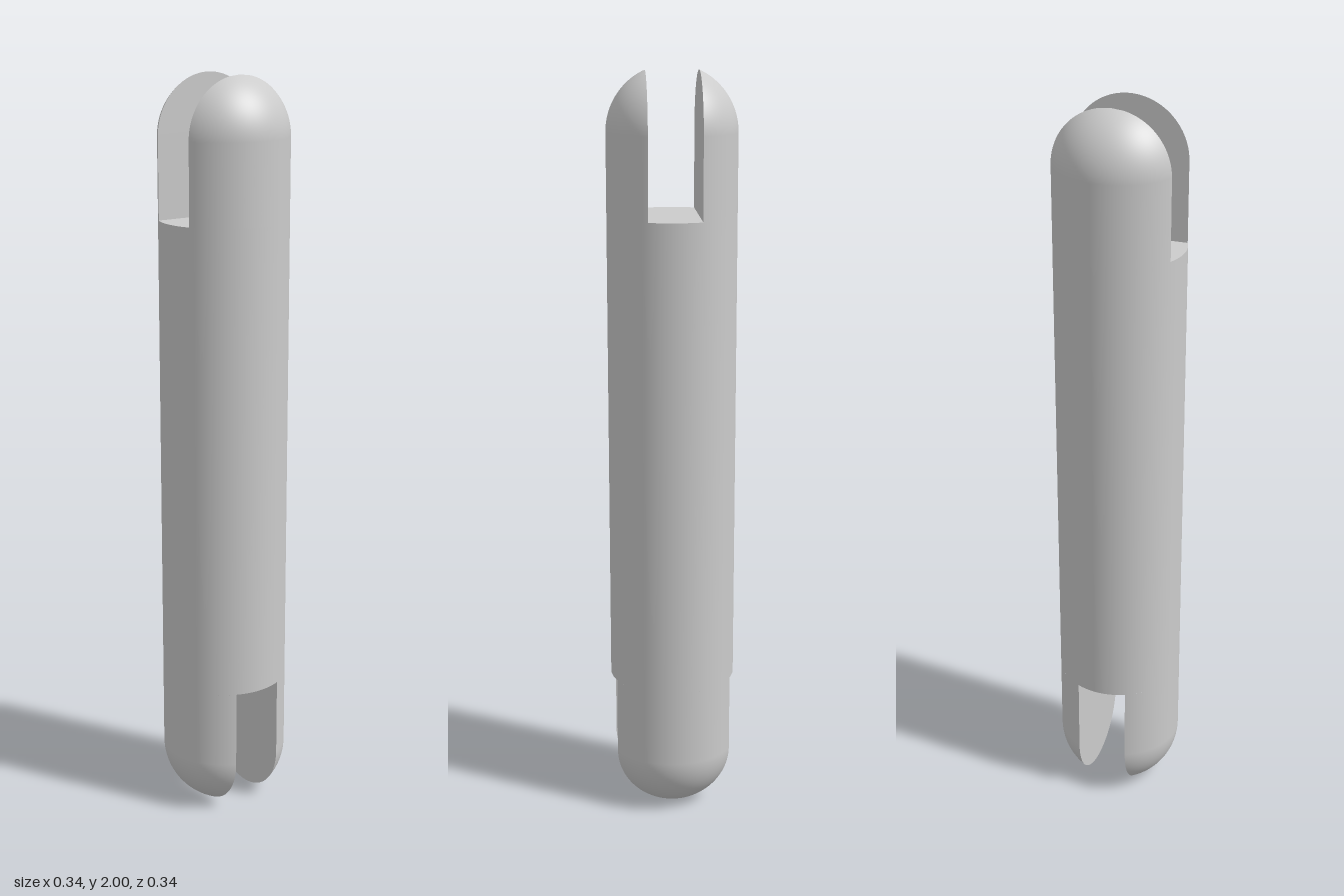
import * as THREE from 'three';

const R = 0.17;                           // rod radius
const S = 0.069;                          // half width of each slot
const W = Math.sqrt(R * R - S * S);       // half width of a slot wall
const FLOOR = 0.634;                      // slot floor, measured from mid-rod
const DOME = 1 - W;                       // centre of the rounded end
const material = new THREE.MeshStandardMaterial({ color: 0xcccccc });

function part(name, geometry) {
  const mesh = new THREE.Mesh(geometry, material);
  mesh.name = name;
  return mesh;
}

// Outer skin of a prong: straight side, then a sphere cut off at z = S
function prongSkin() {
  const rows = 25;
  const geo = new THREE.PlaneGeometry(1, 1, 48, rows);
  const pos = geo.attributes.position, nor = geo.attributes.normal;
  const maxPhi = Math.acos(S / R);
  for (let i = 0; i < pos.count; i++) {
    const u = pos.getX(i) * 2;
    const row = Math.round((pos.getY(i) + 0.5) * rows);
    const phi = row === 0 ? 0 : maxPhi * (row - 1) / (rows - 1);
    const r = R * Math.cos(phi);
    const a = u * Math.acos(Math.min(1, S / r));
    const x = r * Math.sin(a), z = r * Math.cos(a);
    pos.setXYZ(i, x, row === 0 ? FLOOR : DOME + R * Math.sin(phi), z);
    nor.setXYZ(i, x / R, Math.sin(phi), z / R);
  }
  return geo;
}

// Flat arched wall of a prong, facing into the slot
function prongWall() {
  const shape = new THREE.Shape();
  shape.moveTo(-W, FLOOR);
  shape.lineTo(W, FLOOR);
  shape.lineTo(W, DOME);
  shape.absarc(0, DOME, W, 0, Math.PI, false);
  shape.closePath();
  return new THREE.ShapeGeometry(shape, 48).rotateY(Math.PI).translate(0, 0, S);
}

// Floor of a slot: a strip across the round section
function slotFloor() {
  const b = Math.asin(S / R);
  const shape = new THREE.Shape();
  shape.absarc(0, 0, R, -b, b, false);
  shape.absarc(0, 0, R, Math.PI - b, Math.PI + b, false);
  shape.closePath();
  return new THREE.ShapeGeometry(shape, 16).rotateX(-Math.PI / 2).translate(0, FLOOR, 0);
}

// Forked end: two prongs either side of a slot
function forkedEnd(name) {
  const end = new THREE.Group();
  end.name = name;
  for (const [side, angle] of [['A', 0], ['B', Math.PI]]) {
    const prong = new THREE.Group();
    prong.name = 'prong' + side;
    prong.add(part('prongSkin', prongSkin()), part('prongWall', prongWall()));
    prong.rotation.y = angle;
    end.add(prong);
  }
  end.add(part('slotFloor', slotFloor()));
  return end;
}

export function createModel() {
  const model = new THREE.Group();
  model.name = 'slottedRod';

  // Round shaft between the two slot floors
  const shaft = part('shaft', new THREE.CylinderGeometry(R, R, FLOOR * 2, 128, 1, true));
  shaft.position.y = 1;

  const top = forkedEnd('topFork');
  top.position.y = 1;

  // Lower fork is upside down and turned a quarter
  const bottom = forkedEnd('bottomFork');
  bottom.position.y = 1;
  bottom.rotation.set(0, Math.PI / 2, Math.PI);

  model.add(shaft, top, bottom);
  return model;
}
